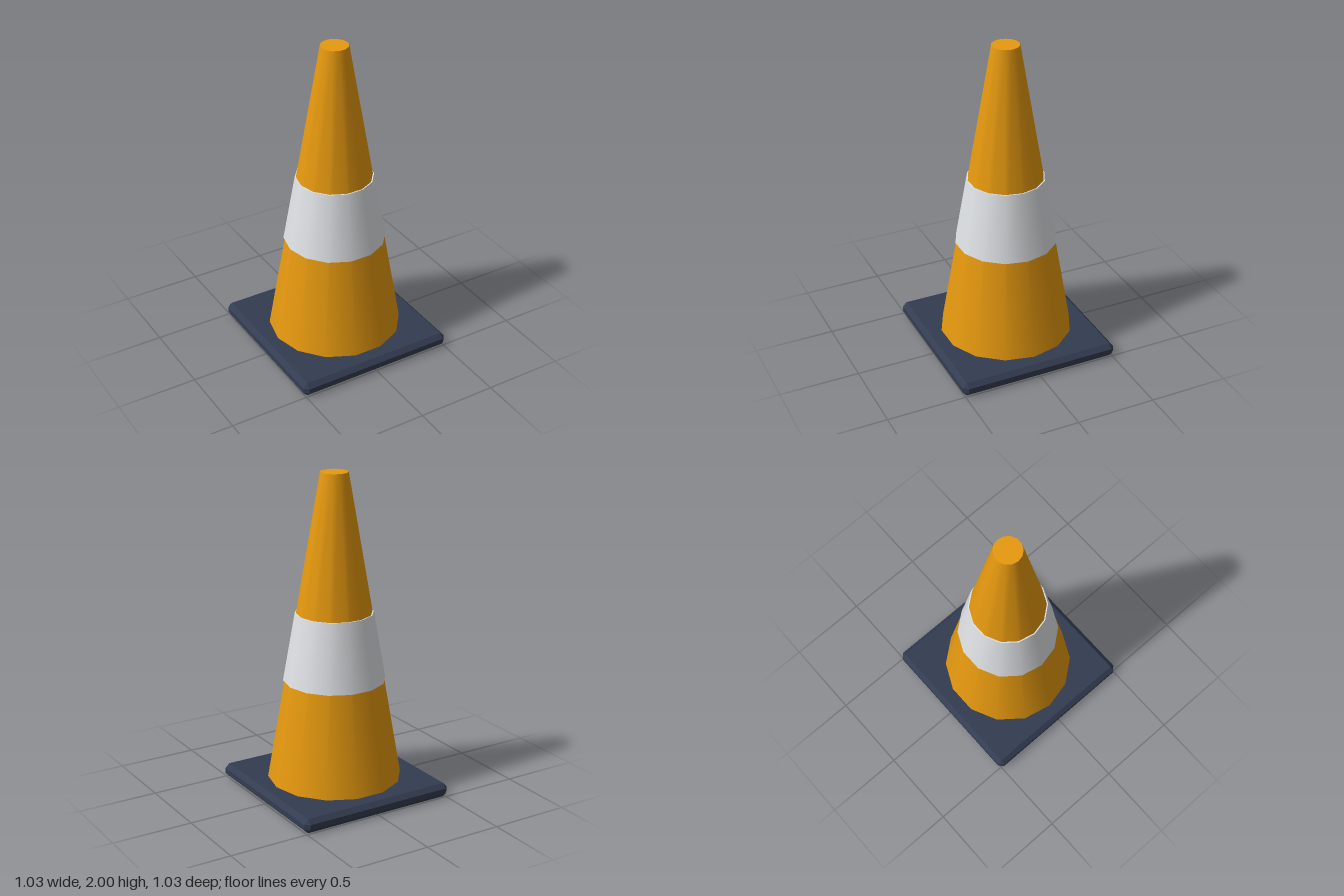
import * as THREE from 'three';
import { ConvexGeometry } from 'three/addons/geometries/ConvexGeometry.js';

const SIDES = 14;

function material(name, color) {
  const m = new THREE.MeshStandardMaterial({ color });
  m.name = name;
  return m;
}

// Tapered 14-sided section with corners on the x axis
function taper(name, rBottom, rTop, y0, y1, mat) {
  const geo = new THREE.CylinderGeometry(rTop, rBottom, y1 - y0, SIDES, 1, false, Math.PI / 2);
  geo.translate(0, (y0 + y1) / 2, 0);
  const mesh = new THREE.Mesh(geo, mat);
  mesh.name = name;
  return mesh;
}

// Box with every edge and corner cut by a flat chamfer
function chamferedBox(w, h, d, c) {
  const points = [];
  for (const sx of [-1, 1]) for (const sy of [-1, 1]) for (const sz of [-1, 1]) {
    const x = w / 2, y = h / 2, z = d / 2;
    points.push(
      new THREE.Vector3(sx * x, sy * (y - c), sz * (z - c)),
      new THREE.Vector3(sx * (x - c), sy * y, sz * (z - c)),
      new THREE.Vector3(sx * (x - c), sy * (y - c), sz * z)
    );
  }
  return new ConvexGeometry(points);
}

export function createModel() {
  const orange = material('orange plastic', 0xe6990f);
  const silver = material('reflective grey', 0xdfe2e5);
  const navy = material('dark rubber', 0x333c51);

  const group = new THREE.Group();
  group.name = 'trafficCone';

  // Square foot
  const base = new THREE.Mesh(chamferedBox(1.026, 0.09, 1.026, 0.028), navy);
  base.name = 'base';
  base.position.y = 0.045;

  // Cone body and the slightly proud reflective band
  group.add(
    base,
    taper('coneBody', 0.415, 0.085, 0.09, 2, orange),
    taper('reflectiveBand', 0.315, 0.24, 0.72, 1.145, silver)
  );
  return group;
}
